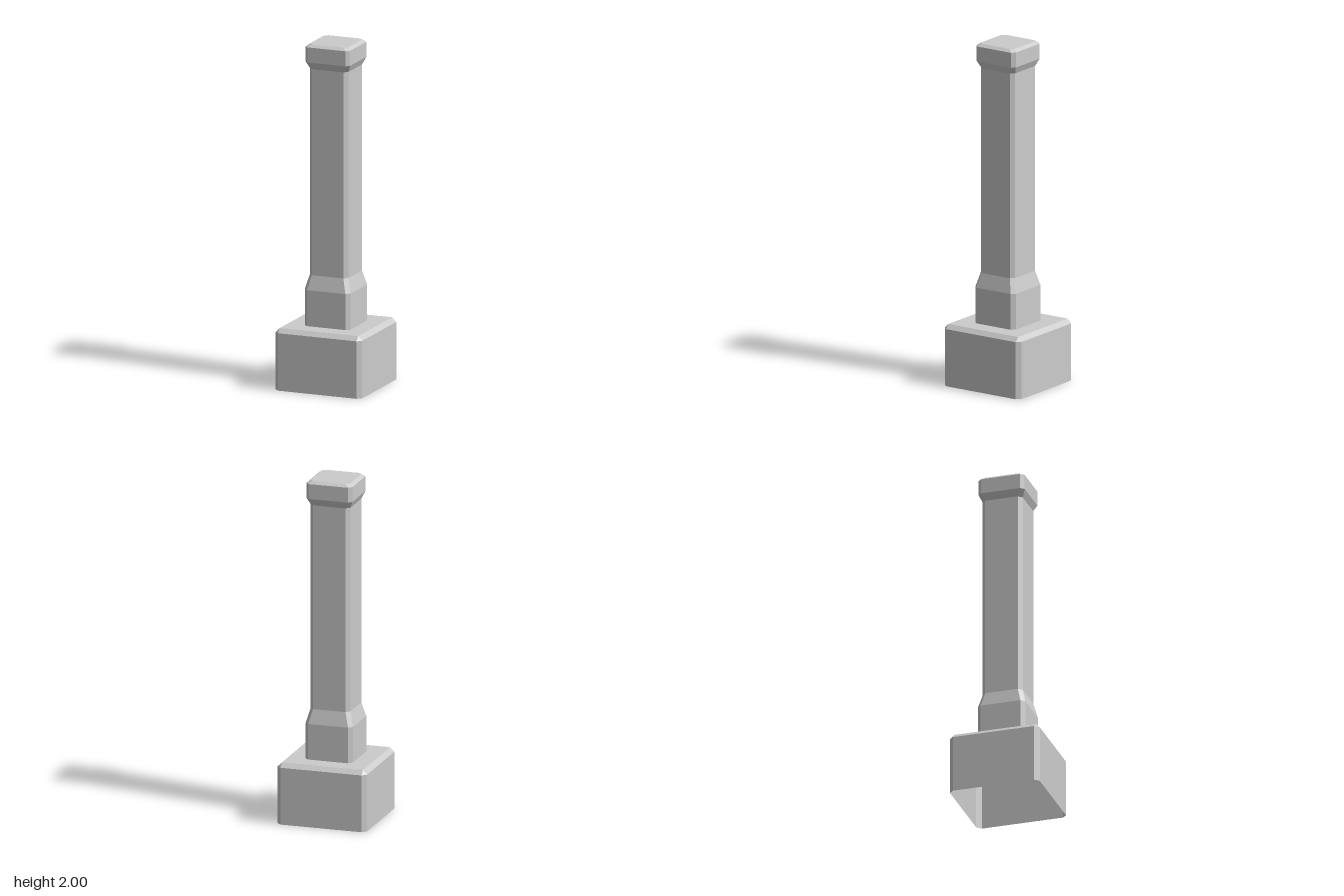
import * as THREE from 'three';

// Square outline with cut corners: half = half width, flat = half length of each straight side
function ring([y, half, flat]) {
  return [[half, flat], [flat, half], [-flat, half], [-half, flat],
    [-half, -flat], [-flat, -half], [flat, -half], [half, -flat]]
    .map(([x, z]) => new THREE.Vector3(x, y, z));
}

// Skin a stack of rings from bottom to top and close the top; the bottom stays open
function loft(name, sections, material) {
  const rings = sections.map(ring);
  const points = [];
  const triangle = (a, b, c) => {
    const area = b.clone().sub(a).cross(c.clone().sub(a)).length();
    if (area > 1e-9) points.push(a, b, c);
  };
  for (let r = 0; r < rings.length - 1; r++) {
    for (let i = 0; i < 8; i++) {
      const j = (i + 1) % 8;
      const [a, b, c, d] = [rings[r][i], rings[r][j], rings[r + 1][j], rings[r + 1][i]];
      triangle(a, d, c);
      triangle(a, c, b);
    }
  }
  const top = rings[rings.length - 1];
  for (let i = 1; i < 7; i++) triangle(top[0], top[i + 1], top[i]);
  const geometry = new THREE.BufferGeometry().setFromPoints(points);
  geometry.computeVertexNormals();
  const mesh = new THREE.Mesh(geometry, material);
  mesh.name = name;
  return mesh;
}

export function createModel() {
  const material = new THREE.MeshStandardMaterial({
    color: 0xcccccc, flatShading: true, side: THREE.DoubleSide,
  });
  const group = new THREE.Group();
  group.name = 'post';

  // Hollow plinth with bevelled corners and top edge
  group.add(loft('plinth', [
    [0, 0.267, 0.242],
    [0.335, 0.267, 0.242],
    [0.36, 0.242, 0.242],
  ], material));

  // Post: wide foot, slimmer shaft, flared head with a bevelled top
  group.add(loft('shaft', [
    [0.36, 0.141, 0.119],
    [0.57, 0.141, 0.119],
    [0.654, 0.119, 0.097],
    [1.856, 0.119, 0.097],
    [1.897, 0.137, 0.117],
    [1.985, 0.137, 0.117],
    [2, 0.118, 0.098],
  ], material));

  return group;
}
